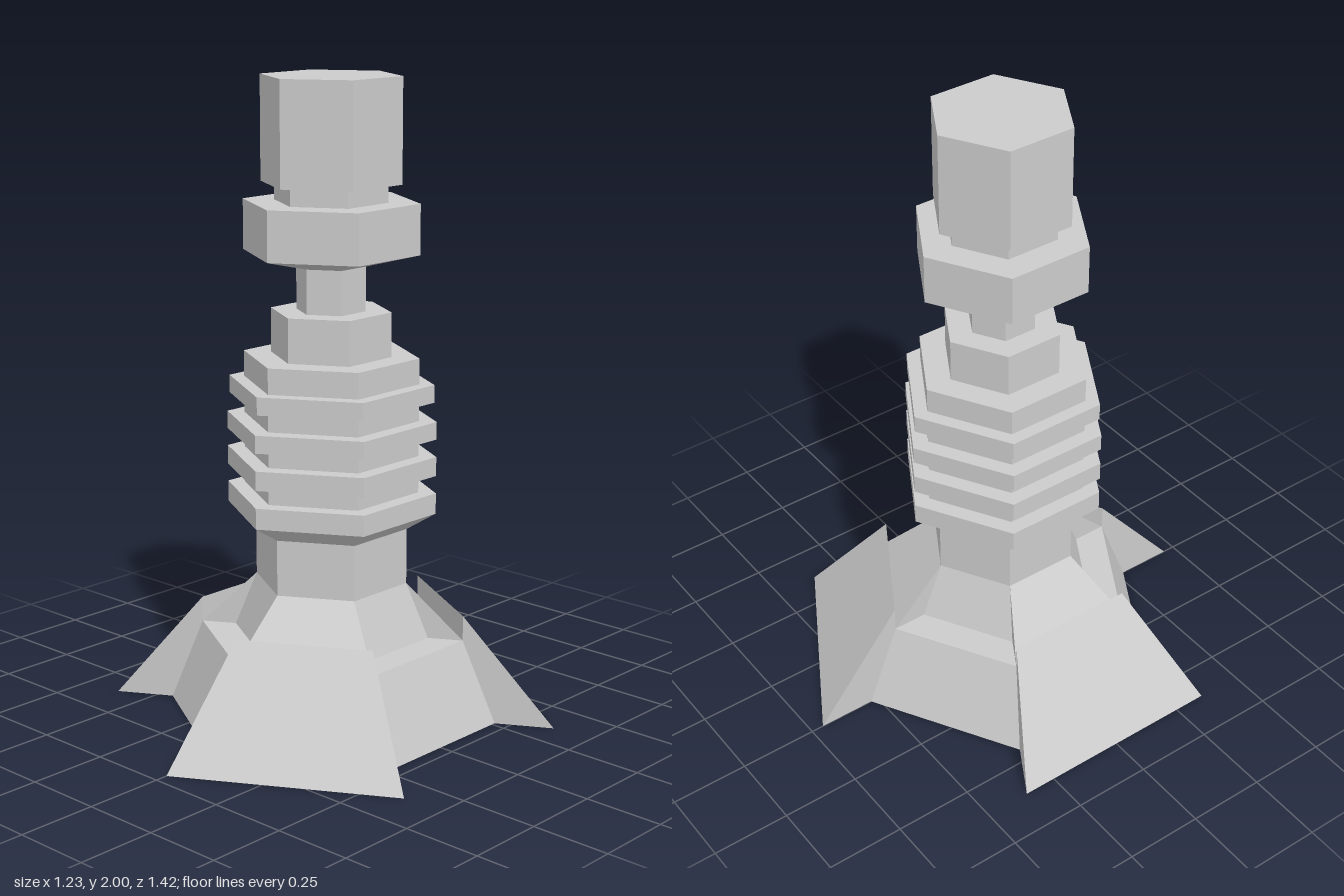
import * as THREE from 'three';

const material = new THREE.MeshStandardMaterial({ color: 0xcccccc, flatShading: true });
const APOTHEM = Math.cos(Math.PI / 6);

// Six-sided drum with a corner towards the front
function hexDrum(name, y0, y1, rBottom, rTop = rBottom) {
  const mesh = new THREE.Mesh(new THREE.CylinderGeometry(rTop, rBottom, y1 - y0, 6), material);
  mesh.position.y = (y0 + y1) / 2;
  mesh.name = name;
  return mesh;
}

// One sixth of a hexagonal body: a [corner radius, height] profile widening from the axis
function hexSector(profile) {
  const shape = new THREE.Shape(profile.map(([r, y]) => new THREE.Vector2(r * APOTHEM, y)));
  const geo = new THREE.ExtrudeGeometry(shape, { depth: 2, bevelEnabled: false });
  const p = geo.attributes.position;
  for (let i = 0; i < p.count; i++) {
    p.setZ(i, (p.getZ(i) - 1) * p.getX(i) * Math.tan(Math.PI / 6));
  }
  geo.computeVertexNormals();
  return geo;
}

export function createModel() {
  const model = new THREE.Group();

  // Base: three stepped sectors alternating with three flared feet
  const base = new THREE.Group();
  base.name = 'base';
  const step = hexSector([[0, 0], [0.525, 0], [0.42, 0.265], [0.31, 0.265], [0.24, 0.44], [0, 0.44]]);
  const foot = hexSector([[0, 0], [0.71, 0], [0.42, 0.345], [0.42, 0.265], [0.24, 0.44], [0, 0.44]]);
  for (let k = 0; k < 6; k++) {
    const mesh = new THREE.Mesh(k % 2 ? foot : step, material);
    mesh.name = k % 2 ? 'flaredFoot' : 'baseStep';
    mesh.rotation.y = k * Math.PI / 3;
    base.add(mesh);
  }
  model.add(base);

  // Lower neck and the underside of the ribbed section
  model.add(hexDrum('lowerNeck', 0.44, 0.615, 0.24));
  model.add(hexDrum('ribUnderside', 0.615, 0.67, 0.24, 0.33));

  // Ribbed section: core with four projecting rings
  model.add(hexDrum('ribCore', 0.67, 1.155, 0.275));
  const rings = [[0.67, 0.735, 0.33], [0.79, 0.85, 0.33], [0.905, 0.96, 0.33], [1.02, 1.075, 0.322]];
  for (const [y0, y1, r] of rings) model.add(hexDrum('ribRing', y0, y1, r));

  // Collar, thin neck and head
  model.add(hexDrum('collar', 1.155, 1.293, 0.188));
  model.add(hexDrum('thinNeck', 1.293, 1.43, 0.108));
  model.add(hexDrum('headUnderside', 1.43, 1.47, 0.108, 0.274));
  model.add(hexDrum('headRing', 1.47, 1.625, 0.274));
  model.add(hexDrum('headGroove', 1.625, 1.68, 0.176));
  model.add(hexDrum('cap', 1.68, 2, 0.218));
  return model;
}
